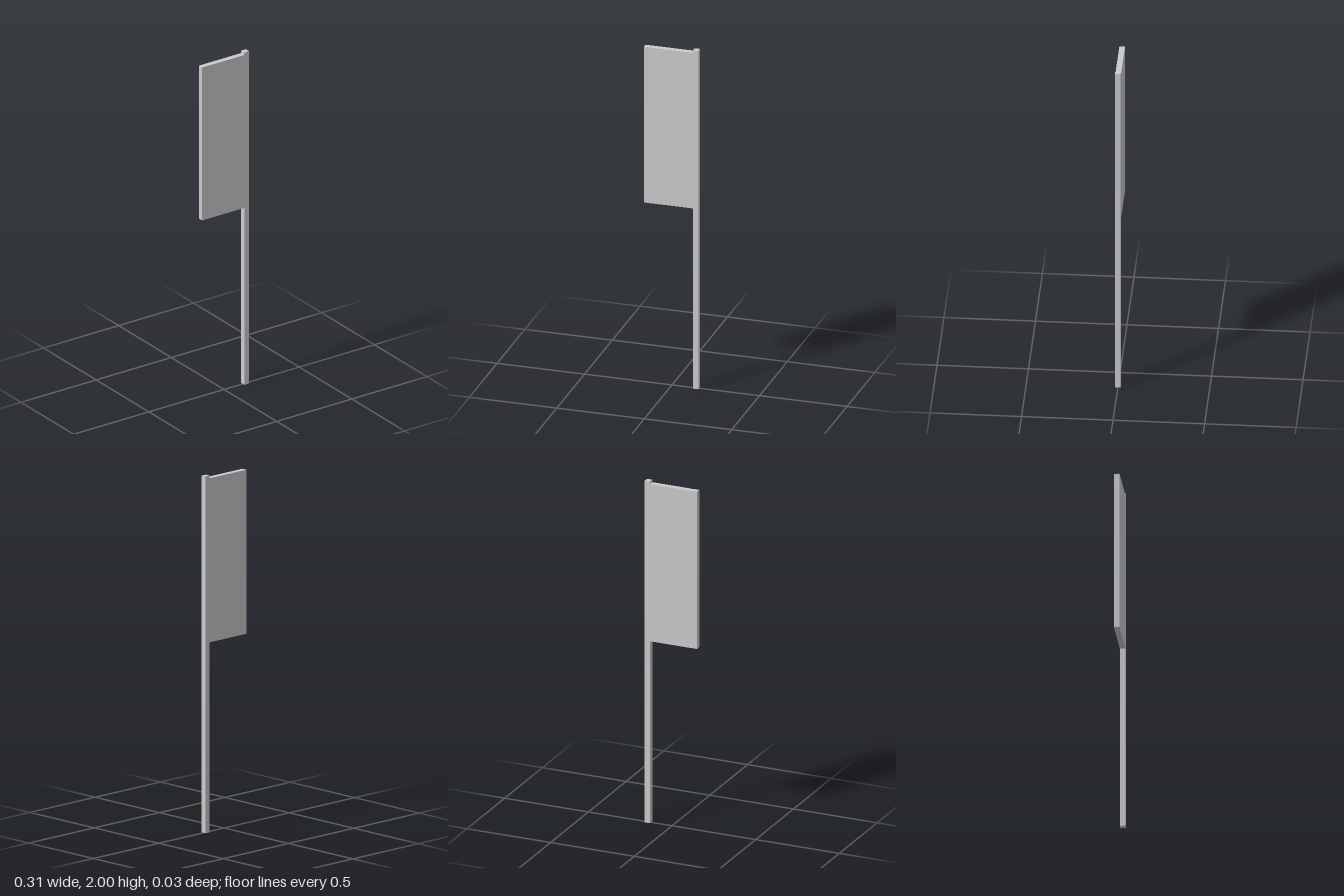
import * as THREE from 'three';

export function createModel() {
  const group = new THREE.Group();
  group.name = 'flagOnPole';
  const material = new THREE.MeshStandardMaterial({ color: 0xcccccc, flatShading: true });
  const thickness = 0.031;

  // Box given by its x and y extents, centred on z = 0
  const addBox = (name, x0, x1, y0, y1) => {
    const mesh = new THREE.Mesh(new THREE.BoxGeometry(x1 - x0, y1 - y0, thickness), material);
    mesh.position.set((x0 + x1) / 2, (y0 + y1) / 2, 0);
    mesh.name = name;
    group.add(mesh);
  };

  // Square upright pole
  addBox('pole', 0.125, 0.156, 0, 2);
  // Rectangular flag panel, flush with the pole
  addBox('flagPanel', -0.156, 0.125, 1.065, 1.985);

  return group;
}
